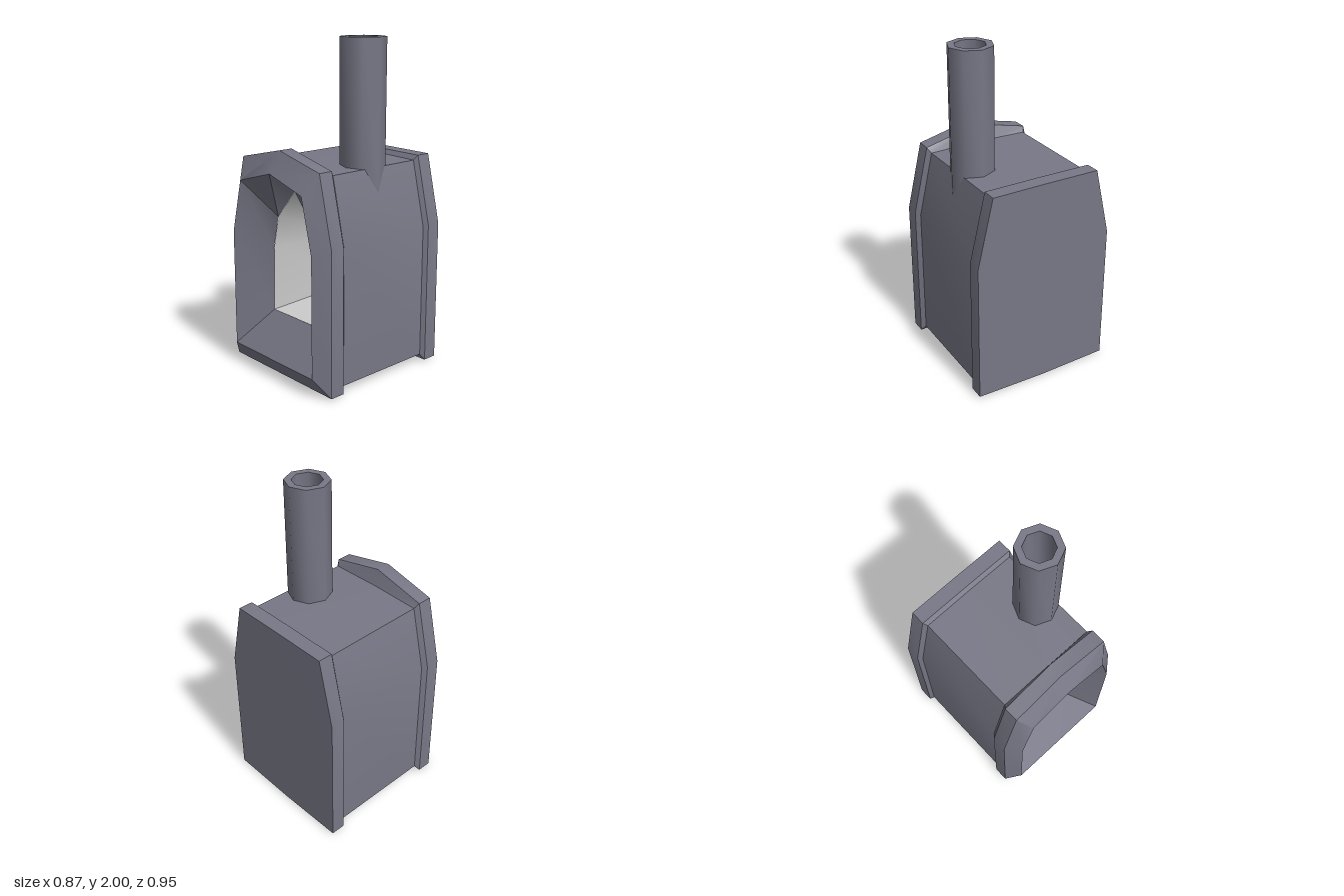
import * as THREE from 'three';
import { toCreasedNormals } from 'three/addons/utils/BufferGeometryUtils.js';

// Arched cross-section, counter-clockwise seen from the front:
// base centre, base corner, side, shoulder, apex, then the mirrored half.
function arch(z, floor, base, side, shoulder, apex) {
  const half = [base, side, shoulder];
  const points = [[0, floor], ...half, [0, apex], ...half.map(([x, y]) => [-x, y]).reverse()];
  return points.map(([x, y]) => [x, y, z]);
}

// A section collapsed to one point closes an end.
const closed = (y, z) => Array.from({ length: 8 }, () => [0, y, z]);

// Skin a series of sections
function loft(sections) {
  const n = sections[0].length;
  const index = [];
  for (let s = 0; s < sections.length - 1; s++) {
    for (let i = 0; i < n; i++) {
      const j = (i + 1) % n;
      const a = s * n + i, b = s * n + j, c = b + n, d = a + n;
      if (s === 0) index.push(a, c, d);
      else index.push(a, b, c, a, c, d);
    }
  }
  const geometry = new THREE.BufferGeometry();
  geometry.setAttribute('position', new THREE.Float32BufferAttribute(sections.flat(2), 3));
  geometry.setIndex(index);
  return geometry;
}

export function createModel() {
  const group = new THREE.Group();
  const iron = new THREE.MeshStandardMaterial({ color: 0x777786 });
  const lining = new THREE.MeshStandardMaterial({ color: 0xcccccc });

  const add = (name, geometry, material) => {
    geometry = toCreasedNormals(geometry, 0.6);
    const mesh = new THREE.Mesh(geometry, material);
    mesh.name = name;
    group.add(mesh);
    return mesh;
  };

  // Section shapes
  const rear = (z) => arch(z, 0, [0.437, 0.01], [0.437, 0.88], [0.34, 1.295], 1.297);
  const body = (z) => arch(z, 0.045, [0.413, 0.045], [0.413, 0.87], [0.322, 1.265], 1.272);
  const collar = (z) => arch(z, 0.01, [0.437, 0.01], [0.437, 0.88], [0.34, 1.295], 1.375);
  const rim = (z) => arch(z, 0.125, [0.355, 0.125], [0.355, 0.845], [0.275, 1.17], 1.25);
  const mouth = (z) => arch(z, 0.337, [0.207, 0.337], [0.2, 0.74], [0.155, 0.94], 1.12);
  const chamberEnd = (z) => arch(z, 0.38, [0.172, 0.38], [0.172, 0.71], [0.13, 0.885], 1.035);

  // Outer shell: back wall, rear collar, body, front collar, rim and funnel
  add('stoveShell', loft([
    closed(0.65, -0.476),
    rear(-0.475), rear(-0.385),
    body(-0.365), body(0.285),
    collar(0.31), collar(0.4),
    rim(0.475), mouth(0.29),
  ]), iron);

  // Fire chamber: tapering walls and a back panel
  const chamber = loft([mouth(0.29), mouth(0.289), chamberEnd(-0.35), closed(0.65, -0.35)]);
  add('fireChamber', chamber, lining);

  // Eight-sided hollow chimney rising from one shoulder
  const profile = [[0.133, 1.1], [0.133, 2], [0.09, 2], [0.09, 1.4], [0, 1.4]];
  const pipe = new THREE.LatheGeometry(profile.map(([r, y]) => new THREE.Vector2(r, y)), 8);
  pipe.deleteAttribute('normal');
  pipe.deleteAttribute('uv');
  const chimney = add('chimney', pipe, iron);
  chimney.geometry = toCreasedNormals(pipe, 0.9);
  chimney.position.set(0.222, 0, -0.037);

  return group;
}
